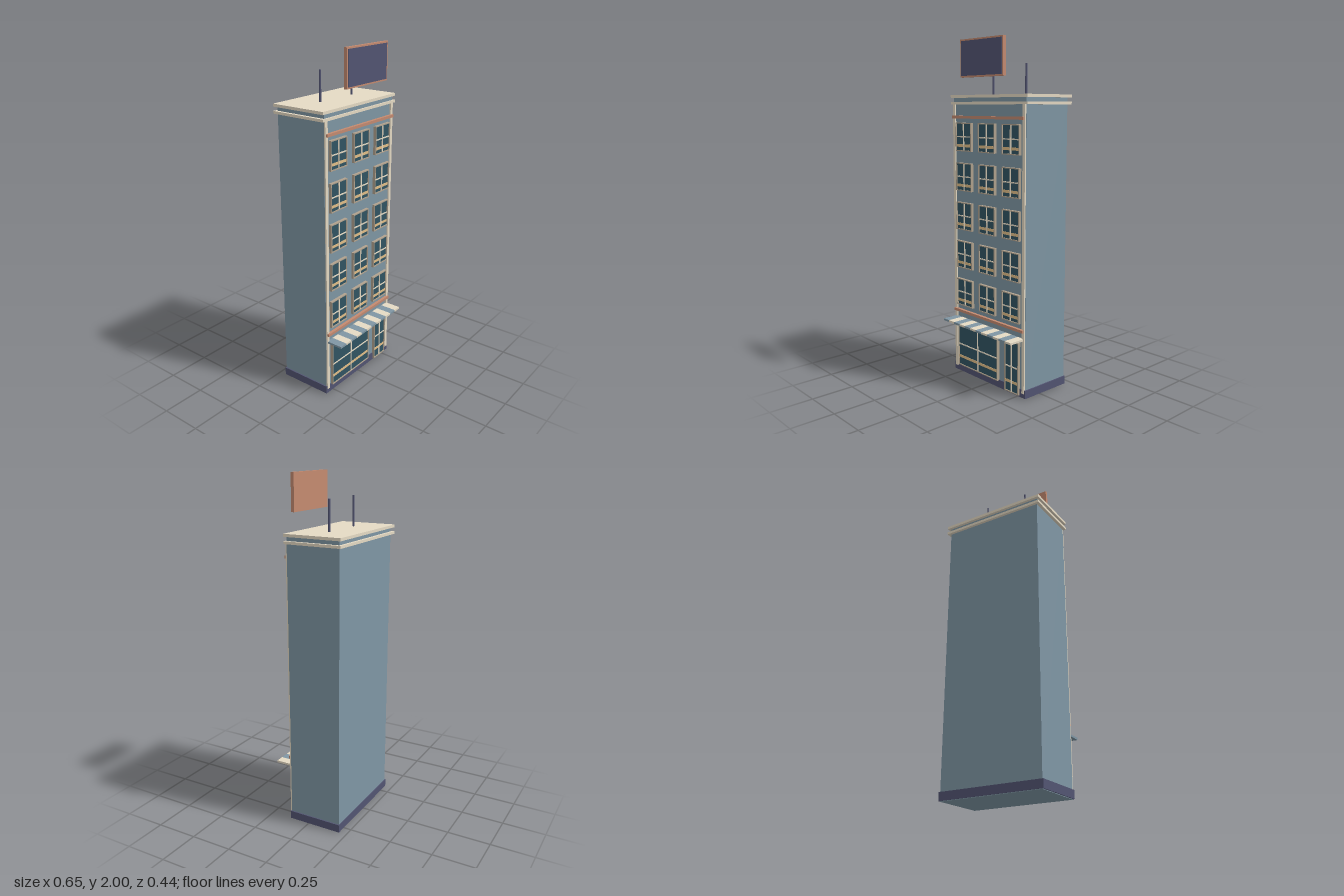
import * as THREE from 'three';

const mat = (name, color) => {
  const m = new THREE.MeshStandardMaterial({ color });
  m.name = name;
  return m;
};

export function createModel() {
  const blue = mat('wallBlue', 0x7f96a4);
  const cream = mat('trimCream', 0xe5dac4);
  const copper = mat('copper', 0xc48a70);
  const navy = mat('navy', 0x525472);
  const glass = mat('glass', 0x315462);
  const tan = mat('blindTan', 0xe2bf88);
  const frameMat = mat('frameTaupe', 0xb0a28e);

  const model = new THREE.Group();
  model.name = 'building';

  // Box given by its limits on each axis
  const box = (name, m, x0, x1, y0, y1, z0, z1, parent = model) => {
    const mesh = new THREE.Mesh(new THREE.BoxGeometry(x1 - x0, y1 - y0, z1 - z0), m);
    mesh.position.set((x0 + x1) / 2, (y0 + y1) / 2, (z0 + z1) / 2);
    mesh.name = name;
    parent.add(mesh);
  };

  // Walls, plinth and cornices
  box('walls', blue, -0.307, 0.307, 0, 1.68, -0.202, 0.116);
  box('plinth', navy, -0.314, 0.314, 0.003, 0.05, -0.206, 0.121);
  box('lowerCornice', cream, -0.325, 0.325, 1.64, 1.655, -0.218, 0.1245);
  box('roofCornice', cream, -0.325, 0.325, 1.678, 1.694, -0.218, 0.1245);

  // Corner strips and string courses on the front
  for (const s of [-1, 1]) {
    box('cornerStrip', cream, s * 0.296 - 0.01, s * 0.296 + 0.01, 0.03, 1.64, 0.11, 0.124);
  }
  for (const y of [0.395, 1.567]) {
    box('stringCourse', copper, -0.302, 0.302, y - 0.008, y + 0.008, 0.11, 0.134);
  }

  // Framed glazing with a cross bar, a centre bar and a blind rail
  const glazing = (name, x0, x1, y0, y1, midY, railY) => {
    const g = new THREE.Group();
    g.name = name;
    const t = 0.006;
    const cx = (x0 + x1) / 2;
    box('glass', glass, x0 + t, x1 - t, y0 + t, y1 - t, 0.112, 0.128, g);
    box('frameLeft', frameMat, x1 - t, x1, y0, y1, 0.112, 0.133, g);
    box('frameRight', frameMat, x0, x0 + t, y0, y1, 0.112, 0.133, g);
    box('frameTop', frameMat, x0 + t, x1 - t, y1 - t, y1, 0.112, 0.133, g);
    box('frameBottom', frameMat, x0 + t, x1 - t, y0, y0 + t, 0.112, 0.133, g);
    box('blindRail', tan, x0 + t, x1 - t, railY - 0.008, railY + 0.008, 0.127, 0.13, g);
    box('centreBar', cream, cx - 0.004, cx + 0.004, y0 + t, y1 - t, 0.127, 0.132, g);
    box('crossBar', cream, x0 + t, x1 - t, midY - 0.0035, midY + 0.0035, 0.127, 0.1315, g);
    model.add(g);
  };

  // Five floors of three windows
  for (let floor = 0; floor < 5; floor++) {
    const y = 0.514 + floor * 0.2345;
    for (const x of [-0.202, 0, 0.2]) {
      glazing('window', x - 0.07, x + 0.07, y - 0.083, y + 0.083, y + 0.002, y - 0.05);
    }
  }

  // Shop front
  glazing('shopWindow', -0.267, 0.093, 0.045, 0.32, 0.181, 0.102);
  glazing('door', 0.152, 0.268, 0.012, 0.32, 0.166, 0.075);

  // Striped awning
  for (let i = 0; i < 12; i++) {
    const x = -0.298 + i * 0.0497;
    box('awningStripe', i % 2 ? cream : blue, x, x + 0.0497, 0.339, 0.351, 0.116, 0.218);
  }

  // Roof posts
  for (const x of [-0.138, 0.138]) {
    const post = new THREE.Mesh(new THREE.CylinderGeometry(0.006, 0.006, 0.175, 8), navy);
    post.position.set(x, 1.779, -0.047);
    post.name = 'roofPost';
    model.add(post);
  }

  // Billboard
  box('billboardFrame', copper, -0.18, 0.18, 1.79, 2, 0.146, 0.165);
  box('billboardPanel', navy, -0.171, 0.171, 1.799, 1.991, 0.164, 0.1675);

  return model;
}
